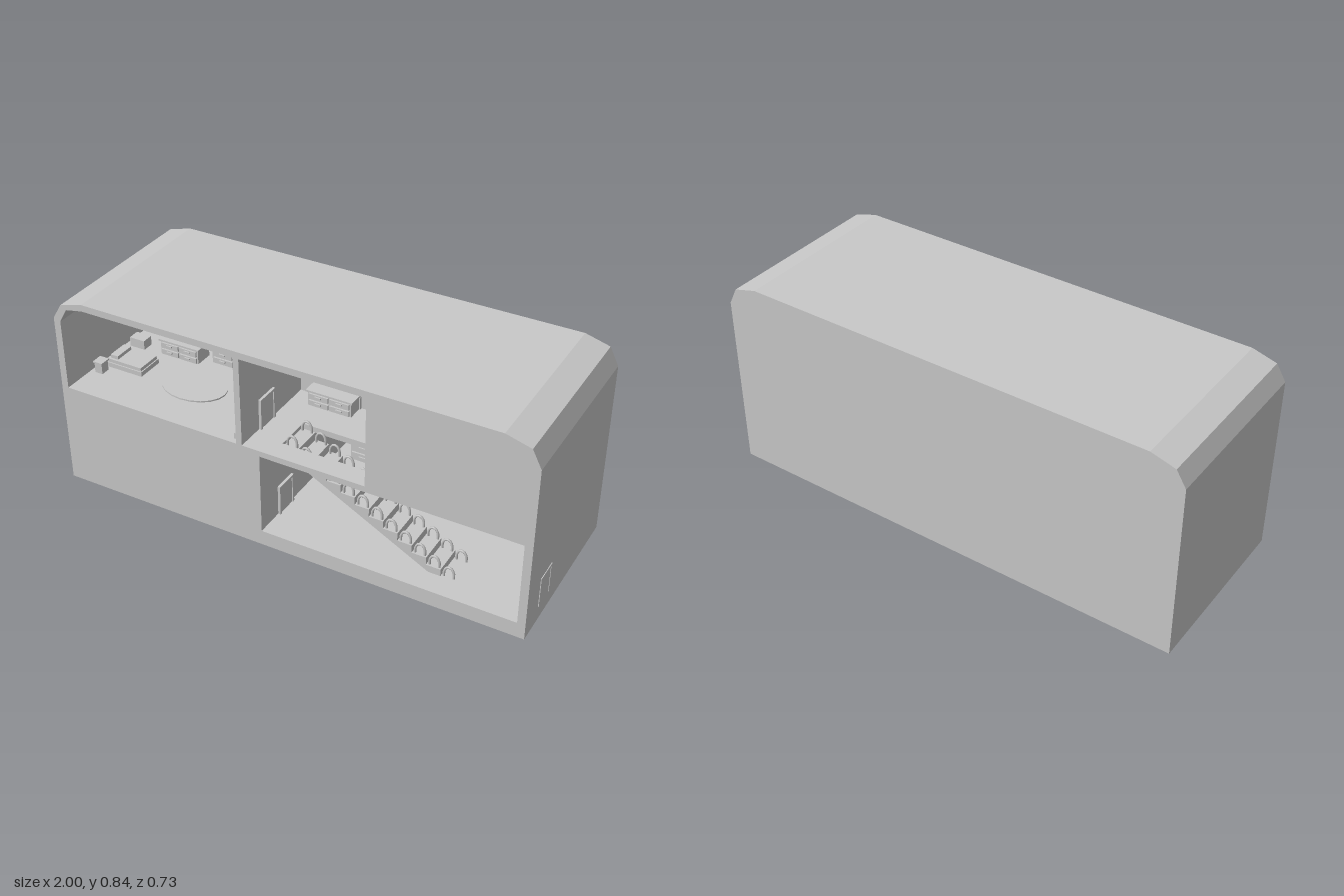
import * as THREE from 'three';

const wall = new THREE.MeshStandardMaterial({ color: 0xc8c8c8 });
wall.name = 'plain grey';

const FLOOR = 0.44, GROUND = 0.065, FRONT = 0.365;
const outline = [[-1, 0], [0.997, 0], [0.997, 0.743], [0.96, 0.815], [0.86, 0.843],
  [-0.86, 0.843], [-0.96, 0.815], [-1, 0.75]];
const bedroom = [[-0.97, FLOOR], [-0.19, FLOOR], [-0.19, 0.815], [-0.86, 0.815], [-0.935, 0.8], [-0.97, 0.74]];
const landing = [[-0.165, FLOOR], [0.35, FLOOR], [0.35, 0.815], [-0.165, 0.815]];
const hall = [[-0.09, GROUND], [0.965, GROUND], [0.965, 0.415], [-0.09, 0.415]];
// Landing and hall joined through the stairwell opening
const stairwell = [[-0.09, GROUND], [0.965, GROUND], [0.965, 0.415], [0.35, 0.415], [0.35, 0.815],
  [-0.165, 0.815], [-0.165, FLOOR], [-0.04, FLOOR], [-0.04, 0.415], [-0.09, 0.415]];

const vectors = (pts) => pts.map(([x, y]) => new THREE.Vector2(x, y));

function add(parent, name, geometry, x = 0, y = 0, z = 0) {
  const mesh = new THREE.Mesh(geometry, wall);
  mesh.name = name;
  mesh.position.set(x, y, z);
  parent.add(mesh);
  return mesh;
}

// Profile in x and y, carried from z0 to z1
function slab(parent, name, pts, z0, z1, holes = []) {
  const shape = new THREE.Shape(vectors(pts));
  shape.holes = holes.map((h) => new THREE.Path(vectors(h)));
  const geometry = new THREE.ExtrudeGeometry(shape, { depth: z1 - z0, bevelEnabled: false });
  return add(parent, name, geometry, 0, 0, z0);
}

// Box standing on y, centred on x and z
function block(parent, name, w, h, d, x, y, z) {
  return add(parent, name, new THREE.BoxGeometry(w, h, d), x, y + h / 2, z);
}

// Framed door with a thin panel, turned to face its room
function door(parent, name, x, y, z, turn) {
  const g = new THREE.Group();
  g.name = name;
  for (const s of [-1, 1]) block(g, 'doorPost', 0.01, 0.13, 0.012, s * 0.047, 0, 0);
  block(g, 'doorLintel', 0.084, 0.01, 0.012, 0, 0.12, 0);
  block(g, 'doorPanel', 0.084, 0.12, 0.004, 0, 0, 0);
  g.position.set(x, y, z);
  g.rotation.y = turn;
  parent.add(g);
}

// Chest with rows of drawers in two columns
function chest(parent, name, w, h, d, x, y, z, rows) {
  const g = new THREE.Group();
  g.name = name;
  block(g, 'chestBody', w, h, d, 0, 0, 0);
  block(g, 'chestTop', w + 0.012, 0.008, d + 0.012, 0, h, 0);
  for (let r = 0; r < rows; r++) {
    for (const s of [-1, 1]) {
      block(g, 'drawerFront', w * 0.45, h / rows * 0.75, 0.008, s * w * 0.24, h / rows * (r + 0.12), d / 2 + 0.004);
      block(g, 'drawerHandle', w * 0.14, 0.006, 0.008, s * w * 0.24, h / rows * (r + 0.5), d / 2 + 0.01);
    }
  }
  g.position.set(x, y, z);
  parent.add(g);
}

// Thin panel with a rounded top
function archPanel(parent, name, x, y, z, w, h) {
  const r = w * 0.38, s = new THREE.Shape();
  s.moveTo(-w / 2, 0);
  s.lineTo(w / 2, 0);
  s.lineTo(w / 2, h - r);
  s.quadraticCurveTo(w / 2, h, w / 2 - r, h);
  s.lineTo(r - w / 2, h);
  s.quadraticCurveTo(-w / 2, h, -w / 2, h - r);
  add(parent, name, new THREE.ExtrudeGeometry(s, { depth: 0.012, bevelEnabled: false, curveSegments: 5 }), x, y, z);
}

function buildShell(root) {
  const shell = new THREE.Group();
  shell.name = 'houseShell';
  root.add(shell);
  const layers = [
    [-FRONT, -0.315, []],
    [-0.315, -0.145, [hall]],
    [-0.145, -0.07, [bedroom, hall]],
    [-0.07, 0.13, [bedroom, landing, hall]],
    [0.13, 0.28, [bedroom, stairwell]],
    [0.28, FRONT, [bedroom, landing, hall]],
  ];
  for (const [z0, z1, holes] of layers) slab(shell, 'shellLayer', outline, z0, z1, holes);
  // Sloping ceiling over the landing
  const wedge = slab(shell, 'slopingCeiling', [[-FRONT, 0.815], [0.07, 0.815], [0.07, 0.783]], -0.165, 0.35);
  wedge.rotation.y = Math.PI / 2;
  wedge.position.set(-0.165, 0, 0);
  block(shell, 'hallPartition', 0.03, 0.35, 0.225, 0.68, GROUND, -0.2025);
}

function buildStairs(root) {
  const stairs = new THREE.Group();
  stairs.name = 'staircase';
  root.add(stairs);
  const count = 11, run = 0.06, rise = 0.033, x0 = -0.04, y0 = 0.425;
  const profile = [[0.57, GROUND], [-0.04, 0.389]];
  for (let i = 0; i < count; i++) {
    profile.push([x0 + i * run, y0 - i * rise], [x0 + (i + 1) * run, y0 - i * rise]);
  }
  profile.push([x0 + count * run, GROUND]);
  slab(stairs, 'steps', profile, 0.14, 0.27);
  // Hooped rails on both sides of each step
  const hoop = new THREE.CatmullRomCurve3([[-0.02, 0], [-0.019, 0.025], [-0.008, 0.043],
    [0.008, 0.043], [0.019, 0.025], [0.02, 0]].map(([x, y]) => new THREE.Vector3(x, y, 0)));
  const hoopGeometry = new THREE.TubeGeometry(hoop, 10, 0.005, 6);
  for (let i = 0; i <= count; i++) {
    for (const z of [0.15, 0.26]) {
      add(stairs, 'railHoop', hoopGeometry, x0 + (i + 0.5) * run, Math.max(y0 - i * rise, GROUND), z);
    }
  }
}

function buildBedroom(root) {
  const room = new THREE.Group();
  room.name = 'bedroom';
  root.add(room);
  block(room, 'nightstand', 0.035, 0.045, 0.04, -0.93, FLOOR, 0.2);
  block(room, 'nightstandTop', 0.043, 0.006, 0.048, -0.93, FLOOR + 0.045, 0.2);
  // Bed with its pillow at the left end
  block(room, 'bedBase', 0.17, 0.02, 0.12, -0.85, FLOOR, 0.1);
  block(room, 'mattress', 0.16, 0.015, 0.11, -0.85, FLOOR + 0.02, 0.1);
  block(room, 'pillow', 0.035, 0.015, 0.09, -0.905, FLOOR + 0.035, 0.1);
  block(room, 'smallBench', 0.07, 0.04, 0.05, -0.91, FLOOR, -0.04);
  chest(room, 'lowChest', 0.18, 0.06, 0.08, -0.71, FLOOR, -0.07, 2);
  // Tall wardrobe with two doors over drawers
  chest(room, 'wardrobeDrawers', 0.2, 0.065, 0.07, -0.48, FLOOR, -0.11, 2);
  block(room, 'wardrobeCase', 0.2, 0.122, 0.06, -0.48, FLOOR + 0.073, -0.115);
  for (const s of [-1, 1]) block(room, 'wardrobeDoor', 0.09, 0.108, 0.008, -0.48 + s * 0.048, FLOOR + 0.08, -0.082);
  // Bookcase of open shelves
  for (const s of [-1, 1]) block(room, 'bookcaseSide', 0.01, 0.152, 0.05, -0.27 + s * 0.04, FLOOR, -0.12);
  for (let i = 0; i < 4; i++) block(room, 'bookcaseShelf', 0.07, 0.008, 0.05, -0.27, FLOOR + i * 0.048, -0.12);
  // Rounded rug
  const rug = add(room, 'rug', new THREE.CylinderGeometry(0.14, 0.14, 0.006, 20), -0.54, FLOOR + 0.003, 0.115);
  rug.scale.z = 0.75;
  // Chair by the side wall
  block(room, 'chairSeat', 0.06, 0.05, 0.06, -0.235, FLOOR, 0.02);
  block(room, 'chairBack', 0.012, 0.115, 0.06, -0.205, FLOOR, 0.02);
  block(room, 'stool', 0.02, 0.025, 0.02, -0.205, FLOOR, 0.33);
}

function buildLanding(root) {
  const room = new THREE.Group();
  room.name = 'landing';
  root.add(room);
  chest(room, 'landingChest', 0.19, 0.06, 0.07, 0.005, FLOOR, -0.03, 2);
  archPanel(room, 'landingMirror', 0.005, FLOOR, -0.07, 0.2, 0.18);
  door(room, 'landingLeftDoor', -0.16, FLOOR, 0.19, Math.PI / 2);
  door(room, 'landingRightDoor', 0.345, FLOOR, 0.05, Math.PI / 2);
  door(room, 'landingBackDoor', 0.228, FLOOR, -0.066, 0);
}

function buildHall(root) {
  const room = new THREE.Group();
  room.name = 'hall';
  root.add(room);
  chest(room, 'hallChest', 0.22, 0.14, 0.08, 0.09, GROUND, -0.26, 3);
  archPanel(room, 'hallMirror', 0.09, GROUND, -0.312, 0.24, 0.265);
  door(room, 'hallLeftDoor', -0.085, GROUND, 0.19, Math.PI / 2);
  door(room, 'hallBackDoor', 0.85, GROUND, -0.311, 0);
  door(room, 'hallMiddleDoor', 0.45, GROUND, -0.311, 0);
}

export function createModel() {
  const root = new THREE.Group();
  root.name = 'cutawayHouse';
  buildShell(root);
  buildStairs(root);
  buildBedroom(root);
  buildLanding(root);
  buildHall(root);
  // Outer entrance on the left side
  door(root, 'entranceDoor', 0.994, GROUND, 0.198, Math.PI / 2);
  block(root, 'entrancePanel', 0.004, 0.12, 0.084, 0.996, GROUND, 0.198);
  return root;
}
